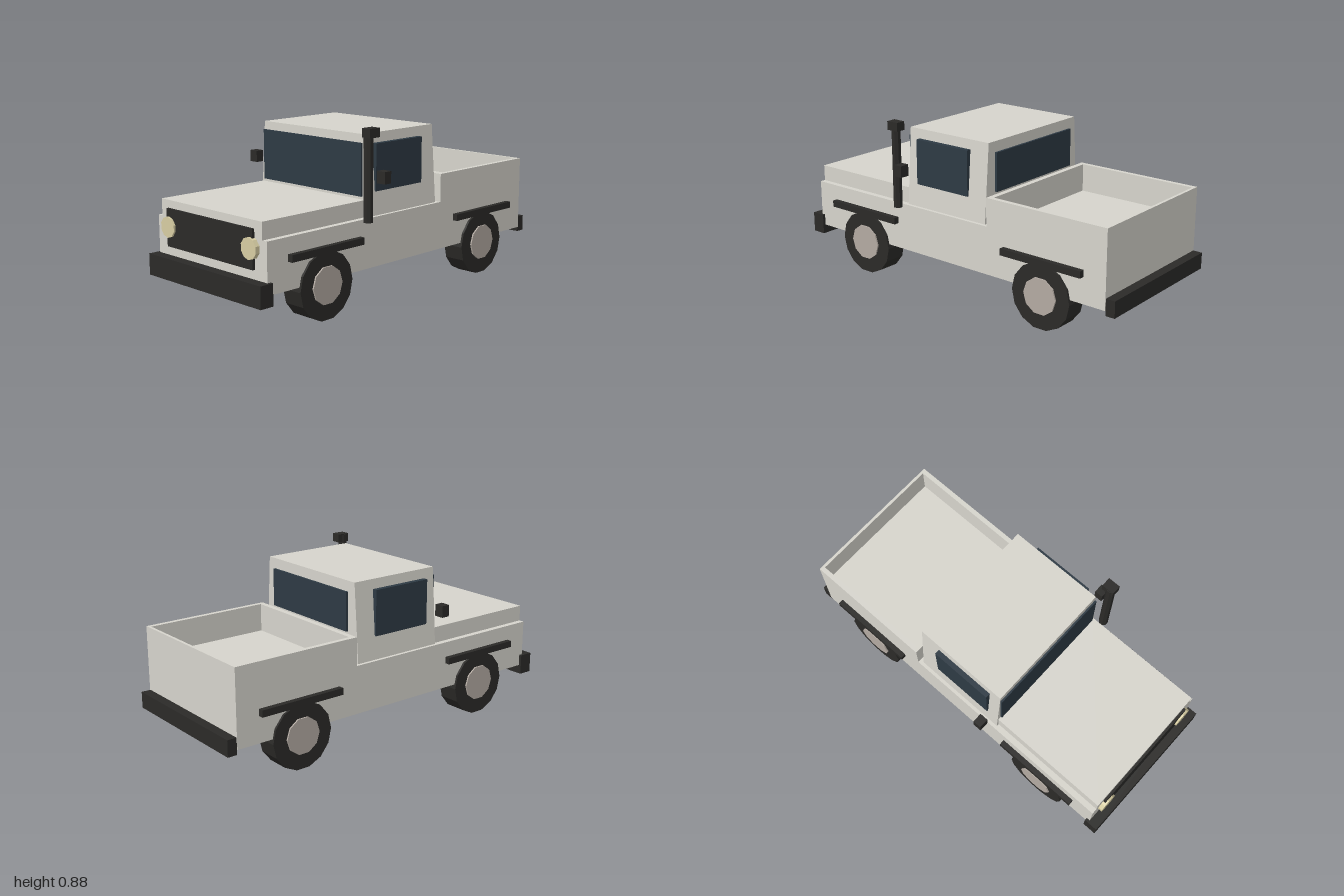
import * as THREE from 'three';

const mat = (color) => new THREE.MeshStandardMaterial({ color, flatShading: true });

export function createModel() {
  const truck = new THREE.Group();
  truck.name = 'pickupTruck';
  const paint = mat(0xd6d4cc), black = mat(0x2b2a28), glass = mat(0x2e3a44);
  const hubPaint = mat(0xb3aaa2), lamp = mat(0xd6cca2);

  const add = (name, geometry, material, x = 0, y = 0, z = 0) => {
    const mesh = new THREE.Mesh(geometry, material);
    mesh.name = name;
    mesh.position.set(x, y, z);
    truck.add(mesh);
    return mesh;
  };
  // Box given by its limits on each axis
  const box = (name, material, [x0, x1], [y0, y1], [z0, z1]) =>
    add(name, new THREE.BoxGeometry(x1 - x0, y1 - y0, z1 - z0), material,
      (x0 + x1) / 2, (y0 + y1) / 2, (z0 + z1) / 2);

  // Body and hood
  box('lowerBody', paint, [-0.4, 0.4], [0.19, 0.44], [-0.95, 0.945]);
  box('hood', paint, [-0.37, 0.37], [0.44, 0.525], [0.285, 0.945]);

  // Cab, narrowing towards the roof
  const cab = new THREE.BoxGeometry(0.766, 0.405, 0.515);
  const p = cab.attributes.position;
  for (let i = 0; i < p.count; i++) if (p.getY(i) > 0) p.setX(i, Math.sign(p.getX(i)) * 0.353);
  add('cab', cab, paint, 0, 0.6425, 0.03);

  // Windows
  box('windshield', glass, [-0.353, 0.353], [0.54, 0.802], [0.275, 0.297]);
  box('rearWindow', glass, [-0.305, 0.305], [0.59, 0.79], [-0.24, -0.22]);

  // Open cargo bed: a rectangular rim of walls standing on the body
  const rim = new THREE.Shape([[-0.4, 0.25], [0.4, 0.25], [0.4, 0.95], [-0.4, 0.95]]
    .map(([x, y]) => new THREE.Vector2(x, y)));
  rim.holes.push(new THREE.Path([[-0.375, 0.278], [-0.375, 0.935], [0.375, 0.935], [0.375, 0.278]]
    .map(([x, y]) => new THREE.Vector2(x, y))));
  const walls = new THREE.ExtrudeGeometry(rim, { depth: 0.147, bevelEnabled: false });
  walls.rotateX(-Math.PI / 2);
  add('bedWalls', walls, paint, 0, 0.44, 0);

  // Bumpers and grille
  box('frontBumper', black, [-0.415, 0.415], [0.142, 0.25], [0.925, 1]);
  box('rearBumper', black, [-0.397, 0.397], [0.165, 0.25], [-1, -0.95]);
  box('grille', black, [-0.317, 0.317], [0.296, 0.486], [0.935, 0.958]);

  const wheel = new THREE.CylinderGeometry(0.17, 0.17, 0.117, 14).rotateZ(Math.PI / 2);
  const hub = new THREE.CylinderGeometry(0.095, 0.095, 0.12, 10).rotateZ(Math.PI / 2);
  const light = new THREE.CylinderGeometry(0.053, 0.053, 0.03, 10).rotateX(Math.PI / 2);

  for (const s of [-1, 1]) {
    const side = s > 0 ? 'left' : 'right';
    const span = (a, b) => (s > 0 ? [a, b] : [-b, -a]);
    add(side + 'Headlight', light, lamp, s * 0.3, 0.395, 0.953);
    box(side + 'SideWindow', glass, span(0.345, 0.383), [0.56, 0.795], [-0.115, 0.222]);
    box(side + 'Mirror', black, span(0.437, 0.489), [0.615, 0.675], [0.231, 0.276]);
    // Wheels with hubs and straight fender flares
    for (const [end, z] of [['Front', 0.587], ['Rear', -0.59]]) {
      add(side + end + 'Wheel', wheel, black, s * 0.3535, 0.166, z);
      add(side + end + 'Hub', hub, hubPaint, s * 0.36, 0.17, z);
      box(side + end + 'Flare', black, span(0.39, 0.428), [0.325, 0.36], [z - 0.237, z + 0.233]);
    }
  }

  // Raised air intake beside the windshield
  add('intakePipe', new THREE.CylinderGeometry(0.0245, 0.0245, 0.45, 8).rotateY(Math.PI / 8),
    black, 0.425, 0.654, 0.322);
  box('intakeHead', black, [0.407, 0.459], [0.84, 0.885], [0.28, 0.348]);

  return truck;
}
